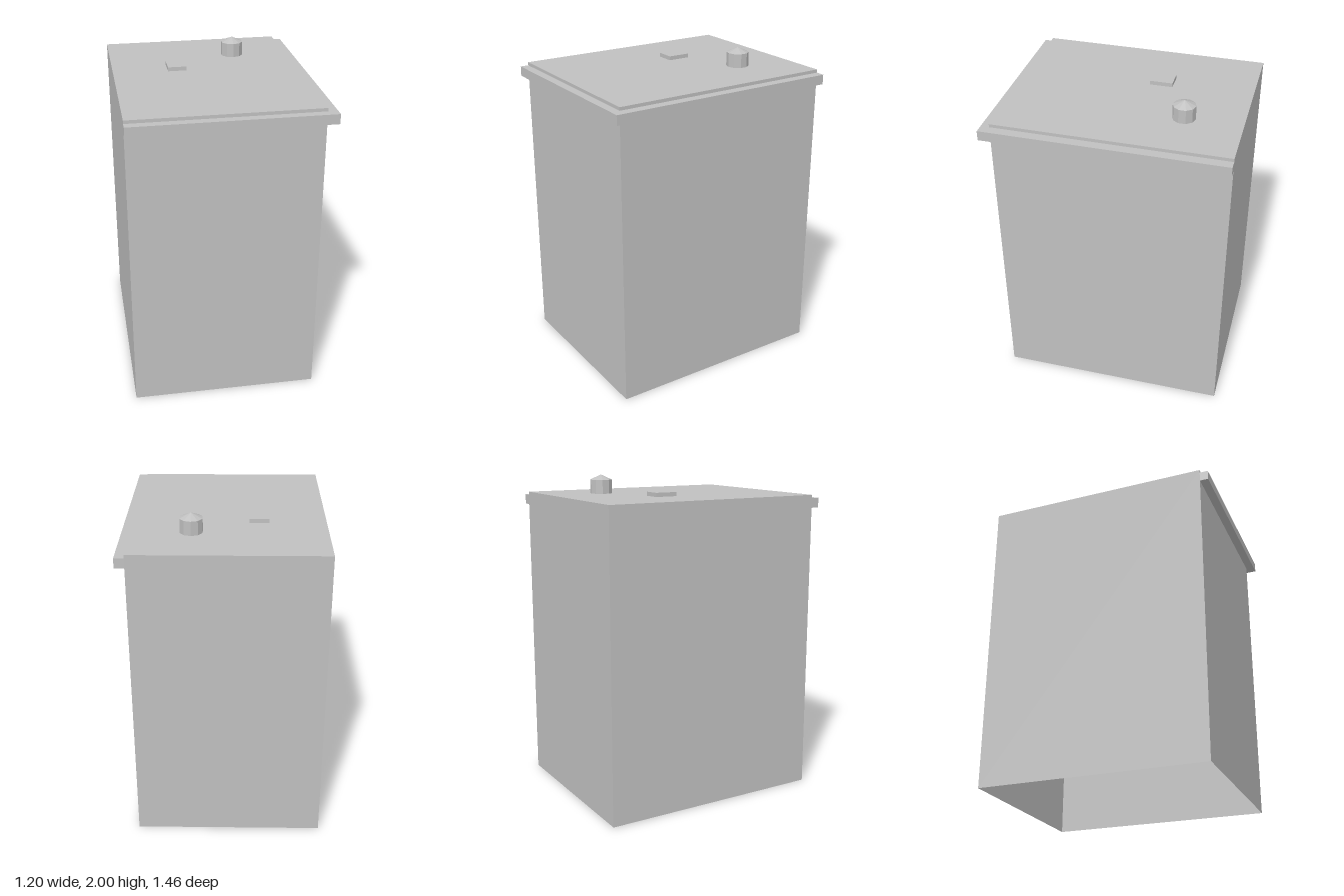
import * as THREE from 'three';

export function createModel() {
  const model = new THREE.Group();
  const grey = new THREE.MeshStandardMaterial({ color: 0xc0c0c0, side: THREE.DoubleSide });
  grey.name = 'concrete grey';

  const add = (name, geometry, x = 0, y = 0, z = 0) => {
    const mesh = new THREE.Mesh(geometry, grey);
    mesh.name = name;
    mesh.position.set(x, y, z);
    model.add(mesh);
    return mesh;
  };

  // A box without its bottom face (the fourth of six sides)
  const openBox = (w, h, d) => {
    const g = new THREE.BoxGeometry(w, h, d);
    const index = Array.from(g.index.array);
    index.splice(18, 6);
    g.setIndex(index);
    g.clearGroups();
    return g;
  };

  const roofY = 1.883;
  const [left, right, back, front] = [-0.6, 0.542, -0.73, 0.678];

  // Hollow building block with flat roof, open underneath
  add('walls and roof', openBox(right - left, roofY, front - back),
    (left + right) / 2, roofY / 2, (front + back) / 2);

  // L-shaped cornice along the front and the +x side (shape y becomes z)
  const corners = [[left, front], [right, front], [right, back], [0.6, back], [0.6, 0.73], [left, 0.73]];
  const outline = new THREE.Shape(corners.map(([x, z]) => new THREE.Vector2(x, z)));
  const cornice = new THREE.ExtrudeGeometry(outline, { depth: 0.06, bevelEnabled: false });
  cornice.rotateX(Math.PI / 2);
  add('cornice', cornice, 0, 1.863, 0);

  // Roof hatch
  add('roof hatch', new THREE.BoxGeometry(0.116, 0.025, 0.14), -0.202, roofY + 0.0125, -0.168);

  // Ten-sided vent with a pointed cap
  const flat = (g) => {
    const f = g.toNonIndexed();
    f.computeVertexNormals();
    return f;
  };
  const r = 0.069;
  add('vent drum', flat(new THREE.CylinderGeometry(r, r, 0.086, 10, 1, true)), 0.192, roofY + 0.043, -0.381);
  add('vent cap', flat(new THREE.ConeGeometry(r, 0.031, 10, 1, true)), 0.192, 1.9845, -0.381);

  return model;
}
